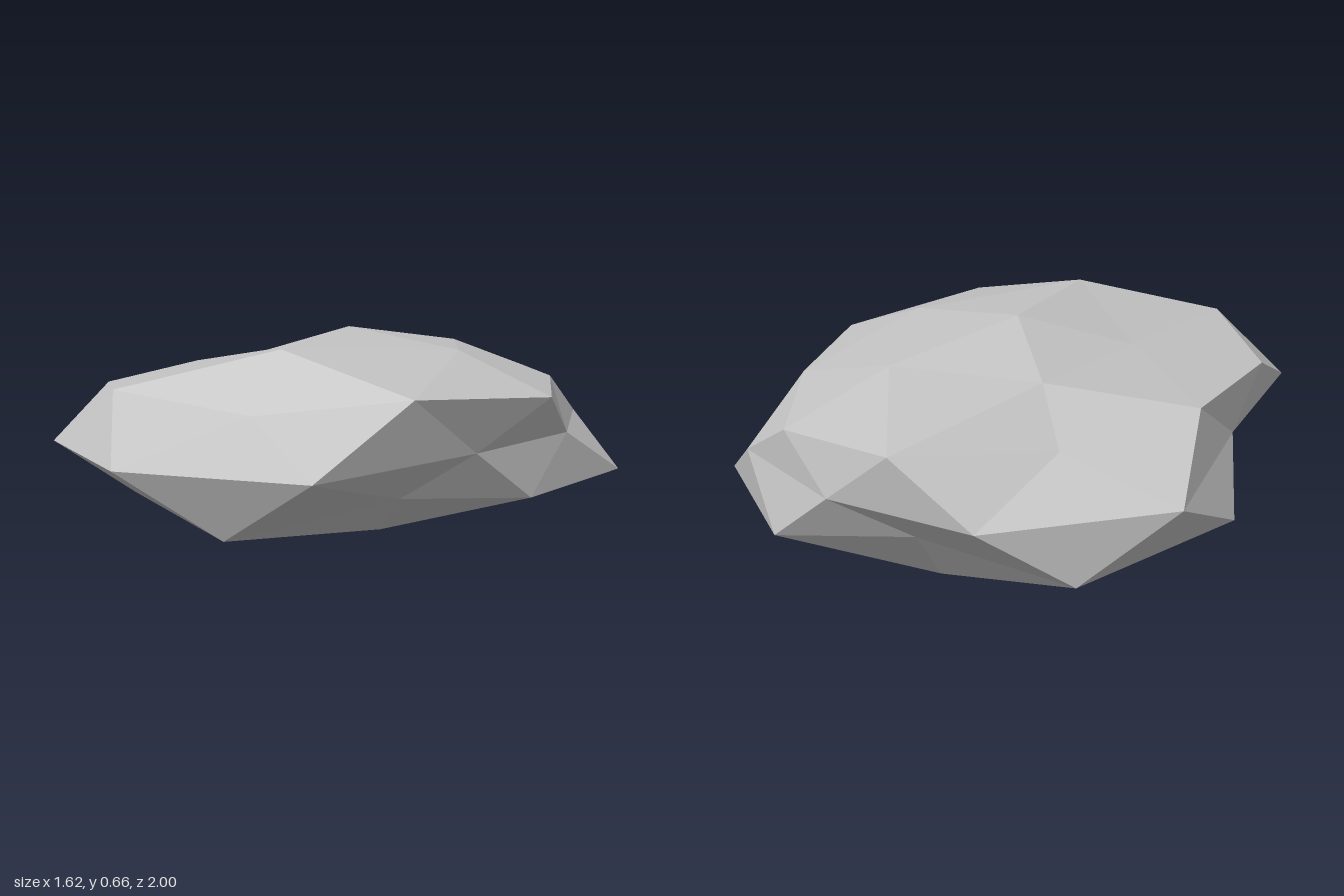
import * as THREE from 'three';

// Low-poly boulder: a once-subdivided icosahedron, flattened, each corner pushed in or out.
const CENTER = new THREE.Vector3(0.04, 0.328, -0.12);
const SCALE = new THREE.Vector3(0.83, 0.325, 1);

// A ring of corners: height on the unit sphere, first azimuth in degrees, radius of each corner.
function ring(height, start, radii) {
  const flat = Math.sqrt(1 - height * height);
  return radii.map((r, i) => {
    const a = THREE.MathUtils.degToRad(start + (i * 360) / radii.length);
    return new THREE.Vector3(flat * Math.cos(a), height, flat * Math.sin(a))
      .multiplyScalar(r).multiply(SCALE).add(CENTER);
  });
}

function rockGeometry() {
  const [top] = ring(1, 0, [1.02]);
  const crown = ring(0.851, 0, [1.0, 1.1, 0.81, 0.88, 0.945]);
  const shoulder = ring(0.526, 36, [1.11, 1.085, 0.99, 1.07, 0.92]);
  const upper = ring(0.447, 0, [1.04, 0.9, 1.02, 0.82, 0.97]);
  const middle = ring(0, 18, [0.84, 1.16, 1.12, 1.07, 0.845, 1.08, 0.995, 0.88, 0.95, 0.875]);
  const lower = ring(-0.447, 36, [0.86, 0.95, 1.12, 0.85, 1.19]);
  const hip = ring(-0.526, 0, [1.005, 1.16, 0.895, 1.16, 1.086]);
  const foot = ring(-0.851, 36, [0.975, 0.93, 0.92, 1.15, 1.08]);
  const [bottom] = ring(-1, 0, [1.009]);

  const points = [];
  // Four facets of one large triangle, from its corners and edge midpoints
  const split = (a, b, c, ab, bc, ca) =>
    points.push(a, ab, ca, ab, b, bc, ca, bc, c, ab, bc, ca);

  for (let k = 0; k < 5; k++) {
    const n = (k + 1) % 5;
    const e0 = middle[2 * k], e1 = middle[2 * k + 1], e2 = middle[(2 * k + 2) % 10];
    split(top, upper[n], upper[k], crown[n], shoulder[k], crown[k]);
    split(upper[k], upper[n], lower[k], shoulder[k], e1, e0);
    split(lower[k], upper[n], lower[n], e1, e2, hip[n]);
    split(lower[k], lower[n], bottom, hip[n], foot[n], foot[k]);
  }
  const geometry = new THREE.BufferGeometry().setFromPoints(points);
  geometry.computeVertexNormals(); // unshared corners give flat facets
  return geometry;
}

export function createModel() {
  const stone = new THREE.MeshStandardMaterial({ color: 0xc3c3c3, flatShading: true });
  stone.name = 'grey stone';
  const rock = new THREE.Mesh(rockGeometry(), stone);
  rock.name = 'rock';
  const group = new THREE.Group();
  group.name = 'boulder';
  group.add(rock);
  return group;
}
